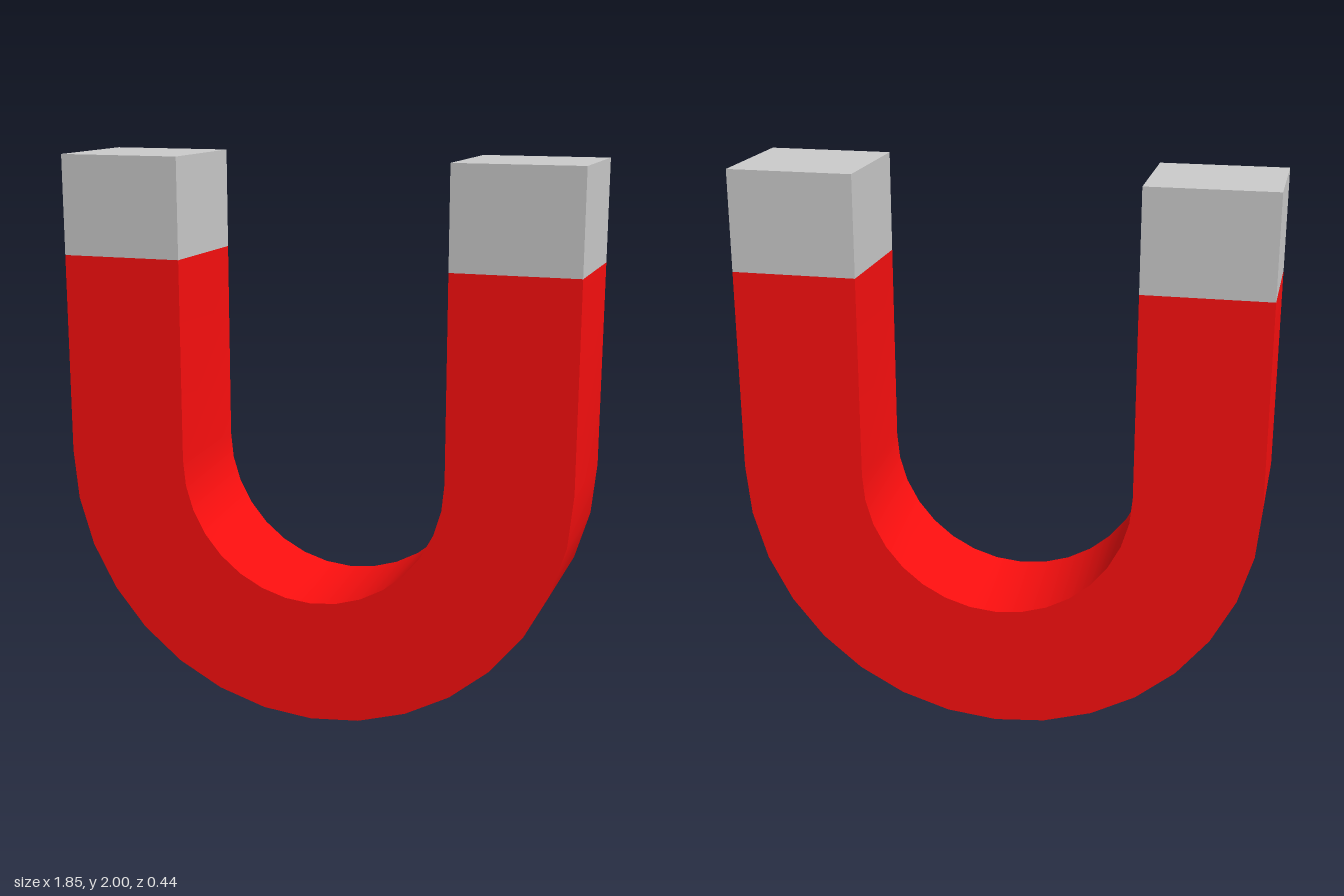
import * as THREE from 'three';
import { toCreasedNormals } from 'three/addons/utils/BufferGeometryUtils.js';

const OUTER = 0.927, INNER = 0.485, DEPTH = 0.44;
const TOP = 2, SPLIT = 1.645, SEGMENTS = 16;

// Points along the lower half circle, from +x round to -x
function lowerArc(radius) {
  return Array.from({ length: SEGMENTS + 1 }, (_, i) => {
    const a = (i / SEGMENTS) * Math.PI;
    return new THREE.Vector2(radius * Math.cos(a), OUTER - radius * Math.sin(a));
  });
}

export function createModel() {
  const model = new THREE.Group();
  model.name = 'horseshoeMagnet';
  const red = new THREE.MeshStandardMaterial({ color: 0xfc0f0f });
  const grey = new THREE.MeshStandardMaterial({ color: 0xcccccc });

  // U-shaped red body: outer arc, then the inner arc back
  const outline = new THREE.Shape([
    new THREE.Vector2(INNER, SPLIT),
    new THREE.Vector2(OUTER, SPLIT),
    ...lowerArc(OUTER),
    new THREE.Vector2(-OUTER, SPLIT),
    new THREE.Vector2(-INNER, SPLIT),
    ...lowerArc(INNER).reverse(),
  ]);
  const bodyGeometry = new THREE.ExtrudeGeometry(outline, { depth: DEPTH, bevelEnabled: false });
  bodyGeometry.translate(0, 0, -DEPTH / 2);
  const body = new THREE.Mesh(toCreasedNormals(bodyGeometry, Math.PI / 6), red);
  body.name = 'body';
  model.add(body);

  // Bare metal pole at the end of each arm
  const poleGeometry = new THREE.BoxGeometry(OUTER - INNER, TOP - SPLIT, DEPTH);
  for (const side of [1, -1]) {
    const pole = new THREE.Mesh(poleGeometry, grey);
    pole.name = side > 0 ? 'leftPole' : 'rightPole';
    pole.position.set(side * (OUTER + INNER) / 2, (TOP + SPLIT) / 2, 0);
    model.add(pole);
  }
  return model;
}
